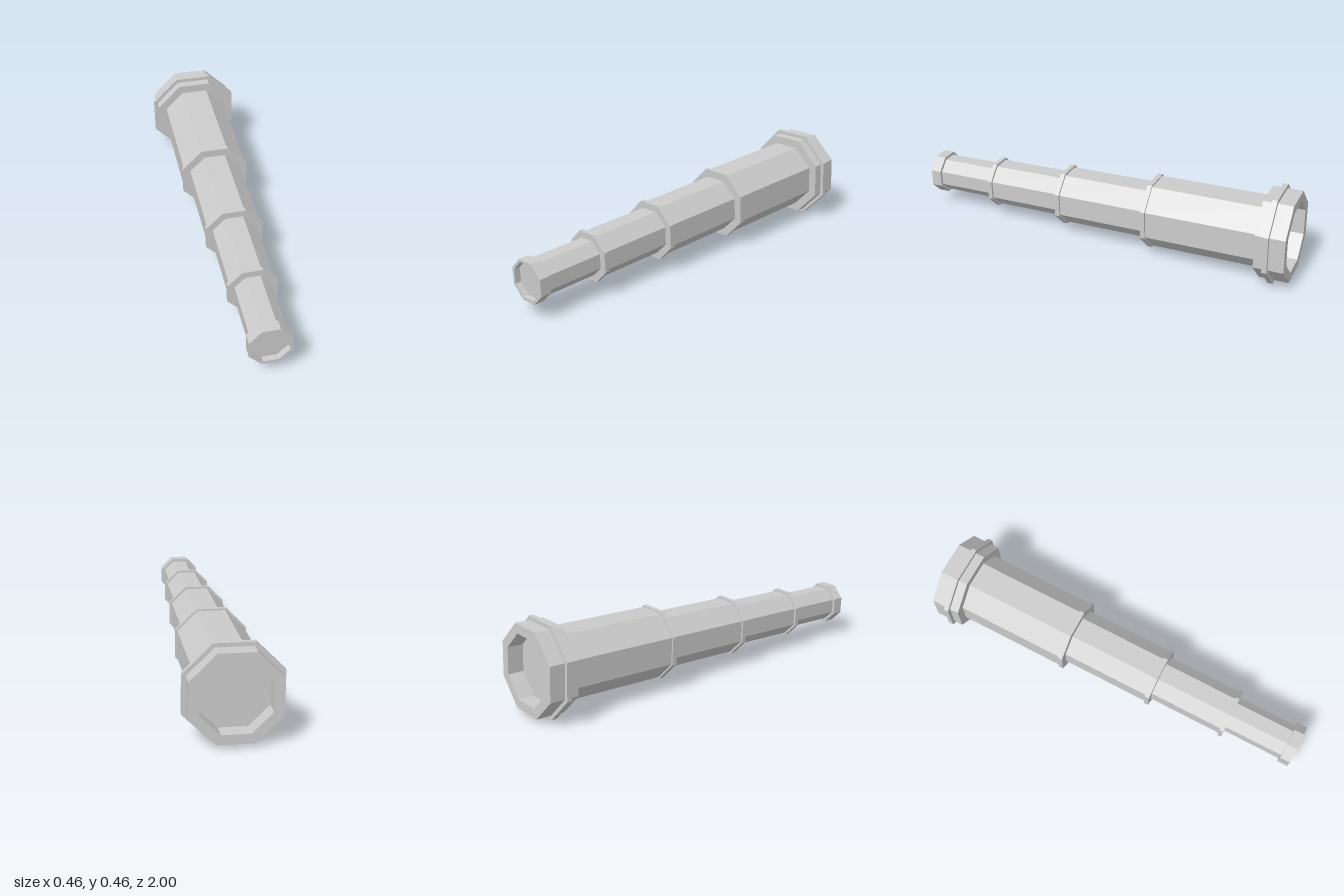
import * as THREE from 'three';

const SIDES = 8;
const CORNER = 1 / Math.cos(Math.PI / SIDES); // flat-to-centre distance -> corner radius

export function createModel() {
  const spyglass = new THREE.Group();
  spyglass.name = 'spyglass';
  const material = new THREE.MeshStandardMaterial({ color: 0xcccccc, flatShading: true });

  // Octagonal turned part along z; profile is [flat radius, z] from back to front
  function turned(name, profile) {
    const points = profile.map(([r, z]) => new THREE.Vector2(r * CORNER, z));
    const geometry = new THREE.LatheGeometry(points, SIDES, Math.PI / SIDES);
    geometry.rotateX(Math.PI / 2);
    const mesh = new THREE.Mesh(geometry, material);
    mesh.name = name;
    spyglass.add(mesh);
  }
  const solid = (name, r, back, front) =>
    turned(name, [[0, back], [r, back], [r, front], [0, front]]);

  // Telescoping tubes, thickest at the back: [radius, back, front]
  [
    [0.165, -0.87, -0.265],
    [0.133, -0.27, 0.22],
    [0.109, 0.21, 0.63],
    [0.087, 0.62, 0.96],
  ].forEach(([r, back, front], i) => solid(`tube${i + 1}`, r, back, front));

  // Rings at the tube joints
  [
    [0.173, -0.28, -0.256],
    [0.143, 0.204, 0.228],
    [0.12, 0.613, 0.635],
  ].forEach(([r, back, front], i) => solid(`jointRing${i + 1}`, r, back, front));

  // Objective housing with raised band and recessed lens
  turned('objectiveHousing', [
    [0, -0.913], [0.162, -0.913], [0.162, -0.993], [0.208, -0.993],
    [0.208, -0.917], [0.2265, -0.917], [0.2265, -0.892], [0.208, -0.892],
    [0.208, -0.845], [0, -0.845],
  ]);

  // Eyepiece with shallow recessed lens
  turned('eyepiece', [
    [0, 0.942], [0.1015, 0.942], [0.1015, 0.997],
    [0.0875, 0.997], [0.0875, 0.967], [0, 0.967],
  ]);

  // Resting pose: slight downward tilt and roll
  spyglass.rotation.set(0.0305, 0, 0.0157);
  spyglass.position.set(-0.001, 0.202, 0);

  const model = new THREE.Group();
  model.name = 'model';
  model.add(spyglass);
  return model;
}
